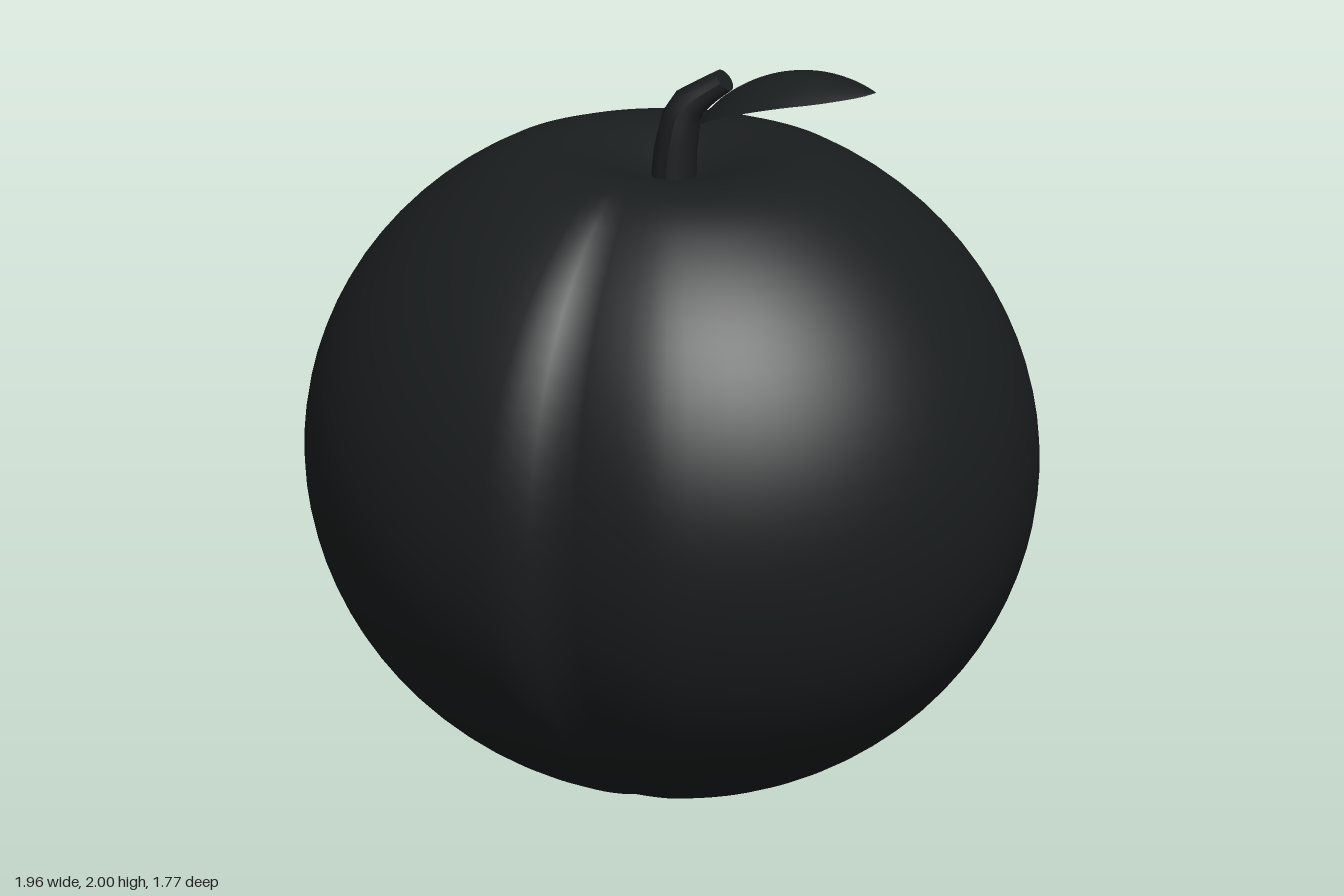
import * as THREE from 'three';
import { mergeVertices } from 'three/addons/utils/BufferGeometryUtils.js';

const material = new THREE.MeshStandardMaterial({ color: 0x1a1d1e });
const leafMaterial = new THREE.MeshStandardMaterial({ color: 0x1a1d1e, side: THREE.DoubleSide });

// Drops normals and uvs so that seams weld, then smooths.
function weld(geometry) {
  geometry.deleteAttribute('normal');
  geometry.deleteAttribute('uv');
  const welded = mergeVertices(geometry, 1e-5);
  welded.computeVertexNormals();
  return welded;
}

// Round fruit: flattened in depth, dimpled on top, with one crease down the front.
function fruitGeometry() {
  const profile = [];
  const steps = 36, top = 1.06;
  for (let i = 0; i <= steps; i++) {
    const a = -Math.PI / 2 + (top + Math.PI / 2) * (i / steps);
    profile.push(new THREE.Vector2(Math.max(0, 0.98 * Math.cos(a)), 0.92 + (a < 0 ? 0.92 : 0.915) * Math.sin(a)));
  }
  const dimple = [[0.41, 1.743], [0.34, 1.755], [0.27, 1.75], [0.2, 1.735], [0.13, 1.71], [0.07, 1.69], [0, 1.68]];
  for (const [r, y] of dimple) profile.push(new THREE.Vector2(r, y));

  const geometry = new THREE.LatheGeometry(profile, 96, Math.PI);
  const p = geometry.attributes.position;
  for (let i = 0; i < p.count; i++) {
    const x = p.getX(i), z = p.getZ(i);
    const angle = Math.atan2(x, z);
    const reach = angle < 0 ? 0.14 : 0.3;
    const crease = 1 - 0.06 * Math.max(0, 1 - Math.abs(angle) / reach);
    p.setXYZ(i, x * crease, p.getY(i), z * 0.91 * crease);
  }
  return weld(geometry);
}

// Bent stem: rings swept along a path, each with its own radius and tilt.
function stemGeometry() {
  const rings = [ // x, y, z, radius, tilt
    [0.005, 1.66, 0, 0.062, 0], [0.01, 1.76, 0, 0.057, 0.1], [0.025, 1.85, -0.005, 0.052, 0.3],
    [0.045, 1.89, -0.012, 0.046, 0.65], [0.09, 1.925, -0.022, 0.037, 0.85], [0.138, 1.958, -0.03, 0.032, 0.9],
  ];
  const sides = 16;
  const geometry = new THREE.CylinderGeometry(1, 1, 1, sides, rings.length - 1);
  const p = geometry.attributes.position;
  for (let i = 0; i < p.count; i++) {
    const k = Math.round((p.getY(i) + 0.5) * (rings.length - 1));
    const [x, y, z, r, tilt] = rings[k];
    const u = p.getX(i) * r;
    p.setXYZ(i, x + u * Math.cos(tilt), y - u * Math.sin(tilt), z + p.getZ(i) * r);
  }
  geometry.computeVertexNormals();
  return geometry;
}

// Arched leaf: a plane bent along its midrib, tapering and drooping to both edges.
function leafGeometry() {
  const midrib = new THREE.CatmullRomCurve3([
    [0.055, 1.83, -0.03], [0.15, 1.925, -0.035], [0.25, 1.98, -0.035],
    [0.35, 2.0, -0.035], [0.45, 1.99, -0.045], [0.555, 1.965, -0.06],
  ].map((v) => new THREE.Vector3(...v)));
  const geometry = new THREE.PlaneGeometry(1, 2, 28, 12);
  const p = geometry.attributes.position;
  for (let i = 0; i < p.count; i++) {
    const t = p.getX(i) + 0.5, v = -p.getY(i);
    const spread = Math.pow(Math.max(0, Math.sin(Math.PI * Math.pow(t, 0.95))), 0.85);
    const m = midrib.getPointAt(t);
    p.setXYZ(i, m.x, m.y - 0.05 * spread * Math.pow(Math.abs(v), 1.5), m.z + 0.178 * spread * v);
  }
  geometry.computeVertexNormals();
  return geometry;
}

export function createModel() {
  const model = new THREE.Group();
  model.name = 'fruit';
  const add = (name, geometry, mat) => {
    const mesh = new THREE.Mesh(geometry, mat);
    mesh.name = name;
    model.add(mesh);
  };
  add('body', fruitGeometry(), material);
  add('stem', stemGeometry(), material);
  add('leaf', leafGeometry(), leafMaterial);
  return model;
}
